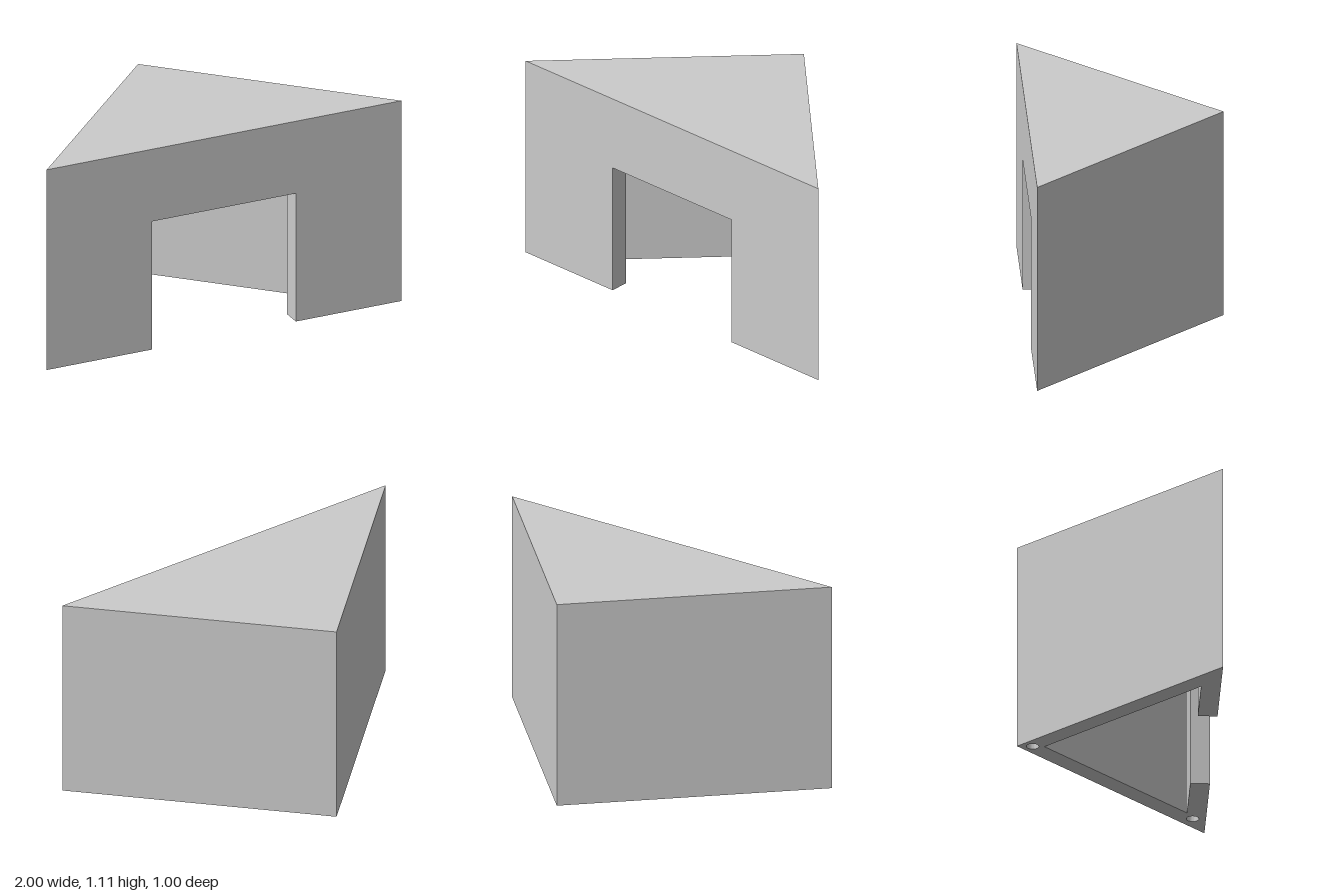
import * as THREE from 'three';
import { toCreasedNormals } from 'three/addons/utils/BufferGeometryUtils.js';

const HEIGHT = 1.11, CEILING = 1.01, DOOR_TOP = 0.71, DOOR_HALF = 0.405;
const HOLE_RADIUS = 0.032, HOLE_DEPTH = 0.1;

// Vertical faces along a plan outline of [x, z] points
function strip(points, y0, y1) {
  const pos = [];
  points.forEach(([ax, az], i) => {
    const [bx, bz] = points[(i + 1) % points.length];
    pos.push(ax, y0, az, bx, y0, bz, bx, y1, bz);
    pos.push(ax, y0, az, bx, y1, bz, ax, y1, az);
  });
  const g = new THREE.BufferGeometry();
  g.setAttribute('position', new THREE.Float32BufferAttribute(pos, 3));
  g.computeVertexNormals();
  return toCreasedNormals(g, 0.5);
}

// Horizontal face over a plan outline, facing up or down
function flat(points, y, up = false, holes = []) {
  const toV = ([x, z]) => new THREE.Vector2(x, up ? -z : z);
  const shape = new THREE.Shape(points.map(toV));
  shape.holes = holes.map((h) => new THREE.Path(h.map(toV)));
  return new THREE.ShapeGeometry(shape)
    .rotateX(up ? -Math.PI / 2 : Math.PI / 2)
    .translate(0, y, 0);
}

function circle(cx, cz, r, n = 32) {
  return Array.from({ length: n }, (_, i) => {
    const a = (i / n) * Math.PI * 2;
    return [cx + r * Math.cos(a), cz + r * Math.sin(a)];
  });
}

export function createModel() {
  const group = new THREE.Group();
  group.name = 'triangularShelter';
  const material = new THREE.MeshStandardMaterial({ color: 0xcccccc });
  const add = (name, geometry) => {
    const mesh = new THREE.Mesh(geometry, material);
    mesh.name = name;
    group.add(mesh);
  };

  // Plan outlines
  const outer = [[-1, 0.5], [1, 0.5], [0, -0.5]];
  const inner = [[-0.76, 0.4], [0, -0.36], [0.76, 0.4]];
  const d = DOOR_HALF;
  const doorway = [[-d, 0.5], [-d, 0.4], [d, 0.4], [d, 0.5]];
  const wallPlan = [
    outer[0], doorway[0], doorway[1], ...inner,
    doorway[2], doorway[3], outer[1], outer[2],
  ];
  const holes = [[-0.83, 0.432], [0.83, 0.432], [0, -0.42]]
    .map(([x, z]) => circle(x, z, HOLE_RADIUS));

  // Walls with the doorway, then the closed band above it
  add('lowerWalls', strip(wallPlan, 0, DOOR_TOP));
  add('upperOuterWalls', strip(outer, DOOR_TOP, HEIGHT));
  add('upperInnerWalls', strip(inner, DOOR_TOP, CEILING));
  add('doorLintel', flat(doorway, DOOR_TOP));

  // Roof, ceiling and footing
  add('roof', flat(outer, HEIGHT, true));
  add('ceiling', flat(inner, CEILING));
  add('footing', flat(wallPlan, 0, false, holes));

  // Blind round holes under the three corners
  for (const hole of holes) {
    add('cornerHoleWall', strip(hole, 0, HOLE_DEPTH));
    add('cornerHoleEnd', flat(hole, HOLE_DEPTH));
  }
  return group;
}
